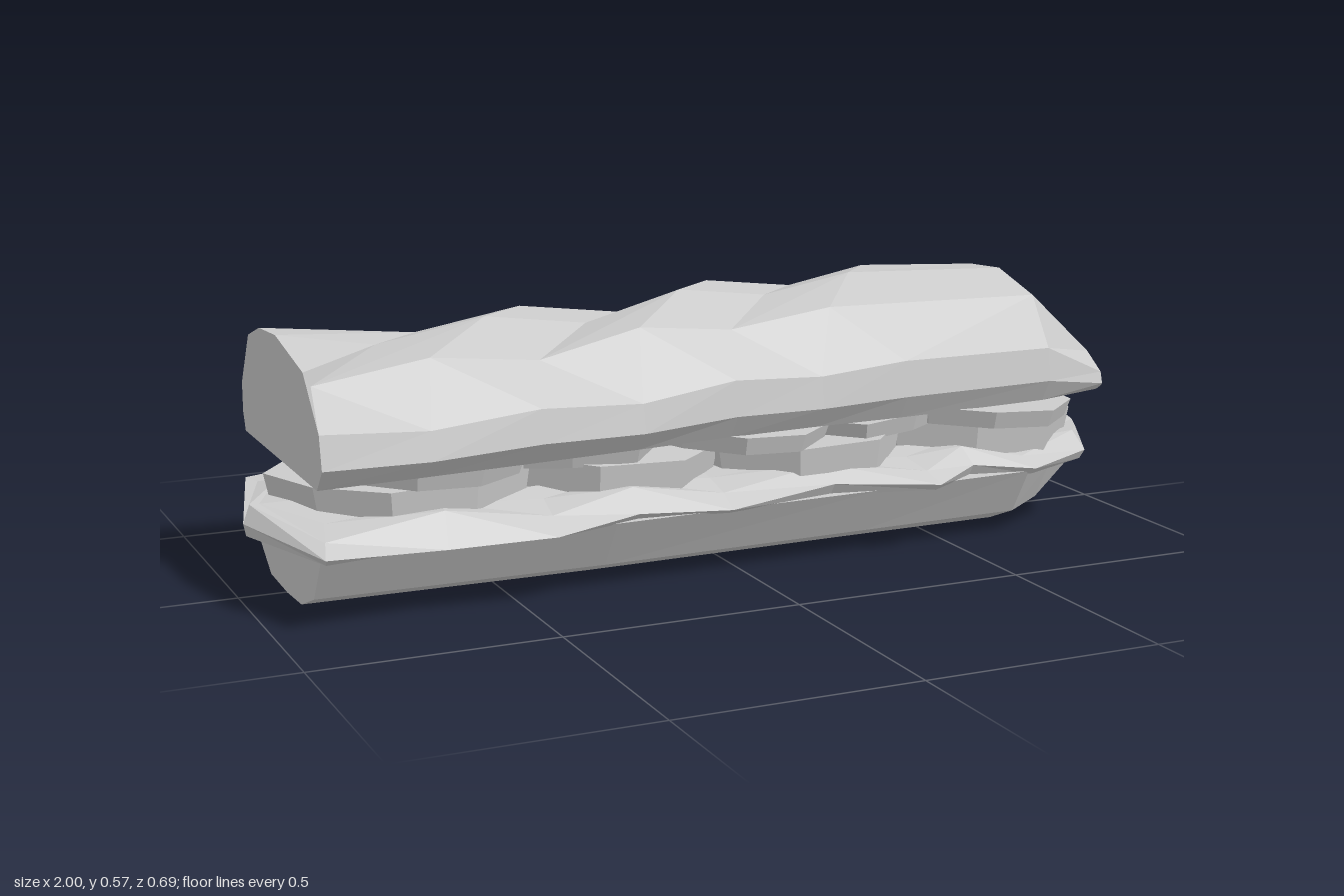
import * as THREE from 'three';

const bread = new THREE.MeshStandardMaterial({ color: 0xcccccc, flatShading: true });
const filling = new THREE.MeshStandardMaterial({ color: 0xcccccc, flatShading: true, side: THREE.DoubleSide });

// Skins a stack of equal-sized rings of [x, y, z] points and closes both ends
function loft(name, rings, material) {
  const n = rings[0].length, pos = [];
  const tri = (a, b, c) => pos.push(...a, ...b, ...c);
  const centre = (r) => [0, 1, 2].map((k) => r.reduce((s, p) => s + p[k], 0) / n);
  const first = rings[0], last = rings[rings.length - 1];
  const c0 = centre(first), c1 = centre(last);
  for (let j = 0; j < n; j++) {
    const k = (j + 1) % n;
    for (let i = 0; i < rings.length - 1; i++) {
      tri(rings[i][j], rings[i][k], rings[i + 1][j]);
      tri(rings[i][k], rings[i + 1][k], rings[i + 1][j]);
    }
    tri(c0, first[k], first[j]);
    tri(c1, last[j], last[k]);
  }
  const geo = new THREE.BufferGeometry();
  geo.setAttribute('position', new THREE.Float32BufferAttribute(pos, 3));
  geo.computeVertexNormals();
  const mesh = new THREE.Mesh(geo, material);
  mesh.name = name;
  return mesh;
}

// Upper loaf: a domed section swept along x, sheared on top into diagonal slashes
function topBread() {
  // [height fraction, width fraction]
  const section = [[1, 0.06], [0.85, 0.66], [0.45, 0.96], [0.18, 1], [0, 0.88],
    [0, -0.94], [0.15, -1], [0.4, -1], [0.85, -0.74], [0.97, -0.4]];
  // [x, top y, front z, back z, bottom y, slash shear]
  const stations = [
    [-0.91, 0.53, 0.335, 0.275, 0.28, 0],
    [-0.69, 0.495, 0.325, 0.275, 0.282, 0.95],
    [-0.46, 0.535, 0.31, 0.275, 0.284, 0.95],
    [-0.24, 0.505, 0.295, 0.28, 0.286, 0.95],
    [-0.03, 0.56, 0.28, 0.285, 0.289, 0.95],
    [0.17, 0.535, 0.27, 0.285, 0.29, 0.95],
    [0.37, 0.57, 0.265, 0.275, 0.29, 0.8],
    [0.74, 0.555, 0.235, 0.265, 0.29, 0],
    [0.91, 0.385, 0.185, 0.155, 0.292, 0],
    [0.93, 0.31, 0.15, 0.13, 0.292, 0],
  ];
  return loft('topBread', stations.map(([x, top, zf, zb, y0, shear]) =>
    section.map(([h, w]) => {
      const z = w * (w > 0 ? zf : zb);
      return [x - (h > 0.7 ? shear * z : 0), y0 + h * (top - y0), z];
    })), bread);
}

// Lower loaf: rounded underside with a flat top, cut square at the left end
function bottomBread() {
  const section = [[1, 0.95], [0.3, 0.72], [0.04, 0.38], [0, 0], [0.03, -0.45], [0.5, -0.82], [1, -0.95]];
  // [x, bottom y, half width, z shift]
  const stations = [
    [-0.905, 0.005, 0.285, 0.02],
    [-0.3, 0, 0.295, 0.01],
    [0.3, 0, 0.285, 0],
    [0.68, 0, 0.27, 0],
    [0.76, 0.022, 0.235, -0.01],
    [0.89, 0.13, 0.14, -0.01],
  ];
  return loft('bottomBread', stations.map(([x, y0, w, dz]) =>
    section.map(([h, s]) => [x, y0 + h * (0.147 - y0), s * w + dz])), bread);
}

// Lettuce: a ragged leaf that pokes out all round
function lettuce() {
  const rim = [
    [-0.91, 0.155, 0.34], [-0.66, 0.14, 0.31], [-0.44, 0.145, 0.33], [-0.25, 0.16, 0.285],
    [-0.05, 0.15, 0.3], [0.2, 0.17, 0.265], [0.43, 0.155, 0.31], [0.55, 0.17, 0.24],
    [0.69, 0.155, 0.27], [0.86, 0.165, 0.2], [1, 0.155, -0.05], [0.84, 0.18, -0.27],
    [0.55, 0.16, -0.26], [0.25, 0.155, -0.355], [0, 0.17, -0.28], [-0.28, 0.155, -0.33],
    [-0.5, 0.175, -0.27], [-0.75, 0.15, -0.28], [-0.91, 0.175, -0.28], [-1, 0.17, 0.07],
  ];
  const inset = (s, low, high) => rim.map(([x, , z], i) => [x * (0.9 + s / 10), i % 2 ? high : low, z * s]);
  return loft('lettuce', [inset(0.94, 0.14, 0.144), rim, inset(0.84, 0.175, 0.205), inset(0.6, 0.19, 0.2)], filling);
}

// A faceted slice, slightly uneven at the edge and tilted along x
function slice(name, [x, y, z], rx, rz, thick, sides, tilt, seed) {
  const ring = (s, dy) => Array.from({ length: sides }, (_, i) => {
    const a = ((i + 0.5) / sides) * Math.PI * 2;
    const r = s * (1 + 0.06 * Math.sin(i * 2.4 + seed));
    return [Math.sin(a) * rx * r, dy, Math.cos(a) * rz * r];
  });
  const mesh = loft(name, [ring(0.95, -thick / 2), ring(1, thick / 2)], filling);
  mesh.position.set(x, y, z);
  mesh.rotation.z = tilt;
  return mesh;
}

export function createModel() {
  const group = new THREE.Group();
  group.name = 'sandwich';
  group.add(bottomBread(), lettuce(), topBread());

  // Overlapping meat slices on the leaf
  [-0.66, -0.22, 0.22, 0.66].forEach((x, i) =>
    group.add(slice('meatSlice', [x, 0.212, i % 2 ? -0.01 : 0.01], 0.26, 0.245, 0.075, 9, i % 2 ? -0.03 : 0.03, i)));

  // Tomato slices tucked under the upper loaf
  [-0.64, -0.3, 0.06, 0.36, 0.65].forEach((x, i) =>
    group.add(slice('tomatoSlice', [x, 0.268, i % 2 ? -0.03 : 0.02], 0.22, 0.27, 0.038, 10, i % 2 ? 0.04 : -0.04, i * 1.7)));

  return group;
}
